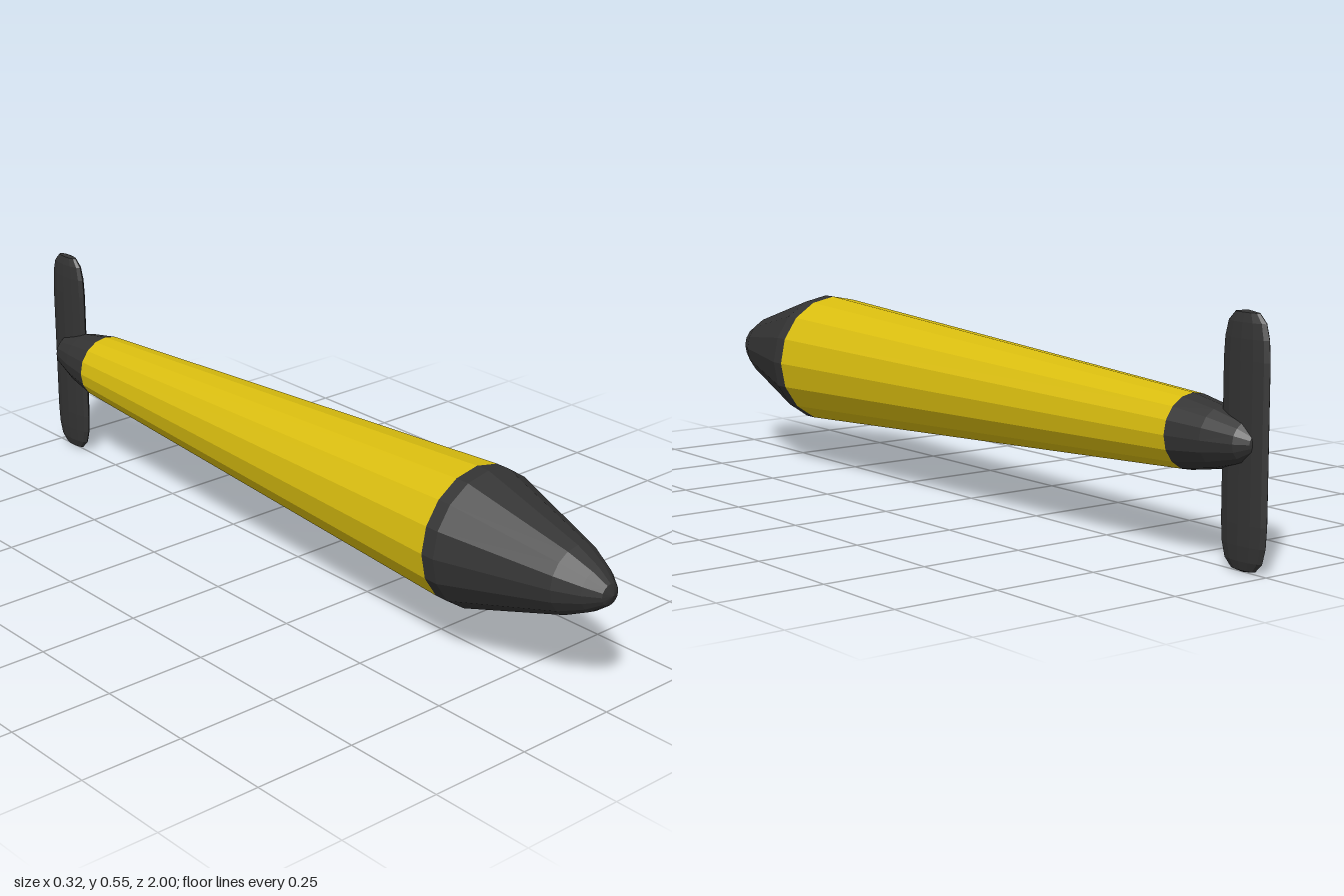
import * as THREE from 'three';

export function createModel() {
  const group = new THREE.Group();
  const yellow = new THREE.MeshStandardMaterial({ color: 0xd9bd0f });
  yellow.name = 'yellow paint';
  const dark = new THREE.MeshStandardMaterial({ color: 0x333333 });
  dark.name = 'dark grey';

  const axisY = 0.273;

  // Faceted solid of revolution from [radius, height] pairs, listed bottom to top
  function facetedLathe(profile, sides) {
    const points = profile.map(([r, h]) => new THREE.Vector2(r, h));
    return new THREE.LatheGeometry(points, sides).toNonIndexed();
  }

  function add(name, geometry, material) {
    geometry.computeVertexNormals();
    const mesh = new THREE.Mesh(geometry, material);
    mesh.name = name;
    group.add(mesh);
  }

  // Sixteen-sided hull sections, turned to lie along z
  function addHull(name, profile, material) {
    add(name, facetedLathe(profile, 16).rotateX(Math.PI / 2).translate(0, axisY, 0), material);
  }

  addHull('tailCone', [
    [0, -0.975], [0.022, -0.967], [0.045, -0.94], [0.067, -0.865], [0.083, -0.775],
  ], dark);
  addHull('body', [[0.083, -0.775], [0.162, 0.595]], yellow);
  addHull('noseCone', [
    [0.162, 0.595], [0.162, 0.63], [0.08, 0.895], [0.051, 0.955], [0.025, 0.99], [0, 1],
  ], dark);

  // Upright rounded blade across the tail, mirrored about the hull axis
  const upper = [[0.067, 0.17], [0.064, 0.215], [0.055, 0.248], [0.035, 0.268], [0, 0.273]];
  const lower = upper.map(([r, h]) => [r, -h]).reverse();
  const blade = facetedLathe([...lower, ...upper], 12);
  blade.scale(0.28, 1, 1).translate(0, axisY, -0.933);
  add('tailBlade', blade, dark);

  return group;
}
